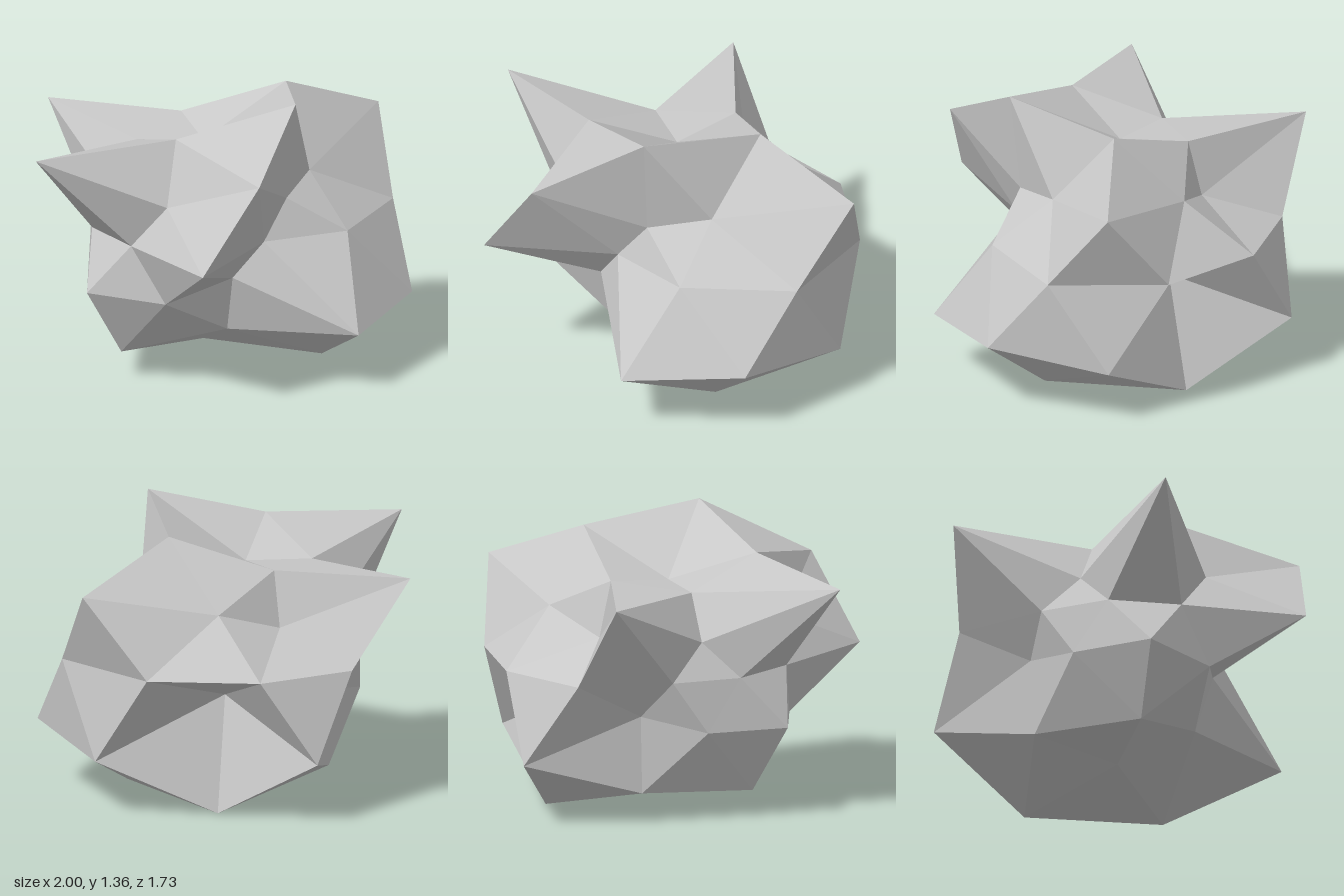
import * as THREE from 'three';

// Rock: a once-subdivided icosahedron, each corner pushed in or out along its ray, squashed in height
const CENTRE = new THREE.Vector3(-0.0215, 0.705, 0);
const SQUASH = 0.75;

// One ring of corners: elevation as (horizontal, vertical), first angle in degrees, distances from the centre
function ring(h, v, startDeg, radii) {
  return radii.map((r, i) => {
    const a = THREE.MathUtils.degToRad(startDeg + (i * 360) / radii.length);
    return new THREE.Vector3(r * h * Math.cos(a), r * v * SQUASH, r * h * Math.sin(a)).add(CENTRE);
  });
}

function rockGeometry() {
  const [top] = ring(0, 1, 0, [0.508]);
  const crown = ring(0.5257, 0.8507, 0, [0.916, 1.027, 0.795, 0.6, 0.66]);
  const upperMid = ring(0.8507, 0.5257, 36, [0.59, 1.015, 1.15, 1.071, 0.663]);
  const upper = ring(0.8944, 0.4472, 0, [1.142, 0.545, 0.615, 0.51, 0.465]);
  const equator = ring(1, 0, 18, [0.943, 0.718, 0.49, 0.967, 0.58, 0.553, 0.555, 0.77, 0.818, 0.905]);
  const lower = ring(0.8944, -0.4472, 36, [1.105, 0.505, 0.76, 0.54, 0.48]);
  const lowerMid = ring(0.8507, -0.5257, 0, [1.108, 1.07, 0.675, 0.64, 1.026]);
  const base = ring(0.5257, -0.8507, 36, [1.065, 0.7, 0.912, 0.875, 1.105]);
  const [bottom] = ring(0, -1, 0, [0.805]);

  // Each large face a-b-c becomes four facets through its edge points
  const points = [];
  const face = (a, b, c, ab, bc, ca) =>
    points.push(a, ab, ca, ab, b, bc, ca, bc, c, ab, bc, ca);

  for (let k = 0; k < 5; k++) {
    const n = (k + 1) % 5;
    const e0 = equator[2 * k], e1 = equator[2 * k + 1], e2 = equator[(2 * k + 2) % 10];
    face(top, upper[n], upper[k], crown[n], upperMid[k], crown[k]);
    face(upper[k], upper[n], lower[k], upperMid[k], e1, e0);
    face(upper[n], lower[n], lower[k], e2, lowerMid[n], e1);
    face(lower[k], lower[n], bottom, lowerMid[n], base[n], base[k]);
  }

  const geometry = new THREE.BufferGeometry().setFromPoints(points);
  geometry.computeVertexNormals();
  return geometry;
}

export function createModel() {
  const stone = new THREE.MeshStandardMaterial({ color: 0xc8c8c8, flatShading: true });
  stone.name = 'stone grey';

  const rock = new THREE.Mesh(rockGeometry(), stone);
  rock.name = 'rock';

  const model = new THREE.Group();
  model.name = 'jaggedRock';
  model.add(rock);
  return model;
}
